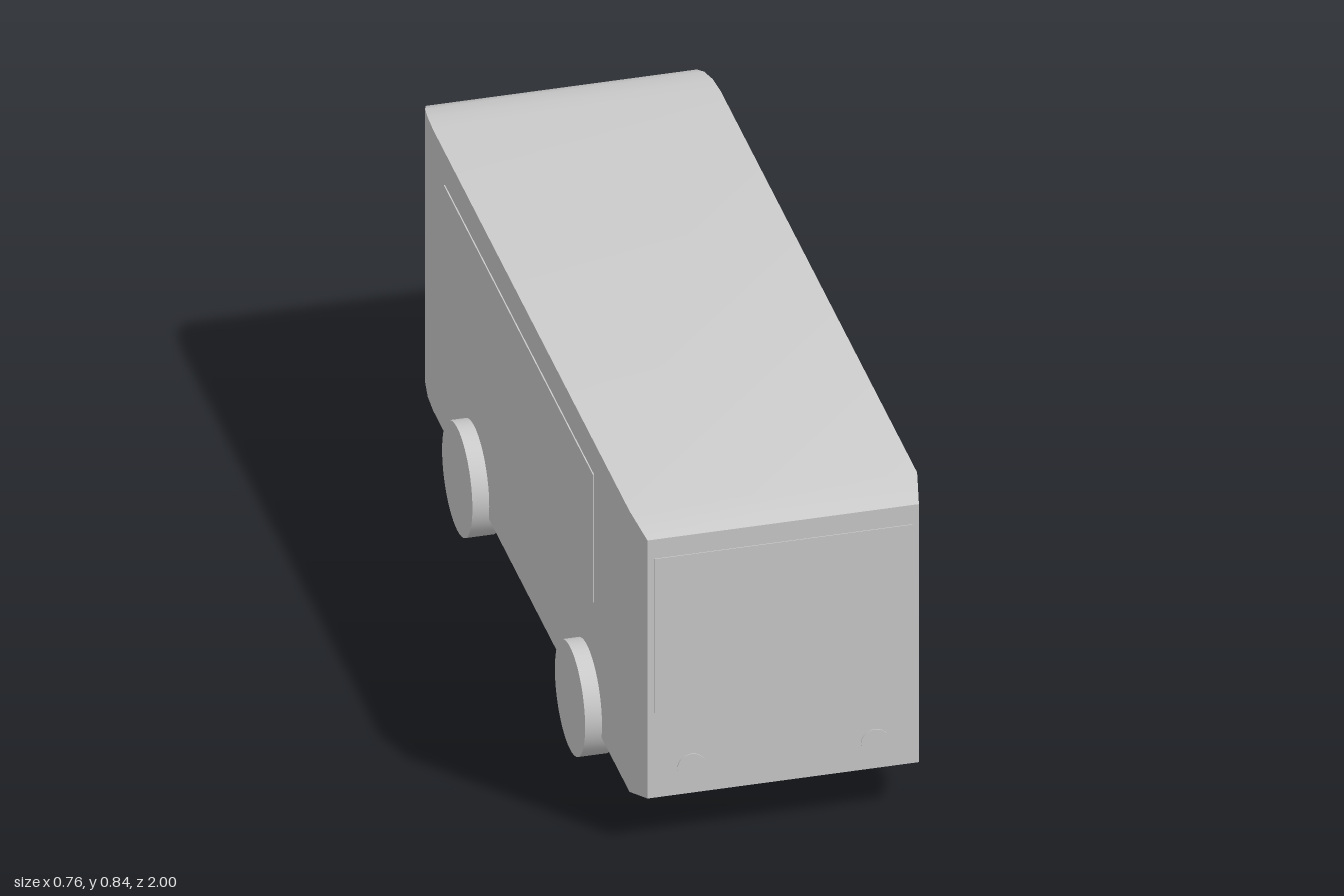
import * as THREE from 'three';
import { toCreasedNormals } from 'three/addons/utils/BufferGeometryUtils.js';

const material = new THREE.MeshStandardMaterial({ color: 0xcccccc });

function add(group, name, geometry, x, y, z) {
  const mesh = new THREE.Mesh(geometry, material);
  mesh.name = name;
  mesh.position.set(x, y, z);
  group.add(mesh);
  return mesh;
}

// Body shell: rectangular sections [z, half width, bottom, top] lofted front to back
function bodyGeometry() {
  const sections = [
    [0.998, 0.318, 0.13, 0.81],
    [0.91, 0.337, 0.1, 0.84],
    [-0.84, 0.337, 0.1, 0.84],
    [-0.9, 0.334, 0.102, 0.838],
    [-0.95, 0.327, 0.11, 0.83],
    [-0.98, 0.318, 0.12, 0.82],
    [-0.991, 0.303, 0.13, 0.81],
    [-0.998, 0.275, 0.14, 0.8],
  ];
  const positions = [];
  const index = [];
  for (const [z, w, y0, y1] of sections) {
    positions.push(-w, y0, z, w, y0, z, w, y1, z, -w, y1, z);
  }
  for (let s = 0; s < sections.length - 1; s++) {
    for (let k = 0; k < 4; k++) {
      const a = s * 4 + k;
      const b = s * 4 + (k + 1) % 4;
      index.push(a, a + 4, b, b, a + 4, b + 4);
    }
  }
  const e = (sections.length - 1) * 4;
  index.push(0, 1, 2, 0, 2, 3, e, e + 2, e + 1, e, e + 3, e + 2);
  const geometry = new THREE.BufferGeometry();
  geometry.setAttribute('position', new THREE.Float32BufferAttribute(positions, 3));
  geometry.setIndex(index);
  return toCreasedNormals(geometry, 0.55);
}

export function createModel() {
  const bus = new THREE.Group();
  bus.name = 'bus';

  add(bus, 'body', bodyGeometry(), -0.002, 0, 0);

  // Front and rear glass
  add(bus, 'windshield', new THREE.BoxGeometry(0.605, 0.405, 0.02), -0.002, 0.557, 0.99);
  add(bus, 'rearWindow', new THREE.BoxGeometry(0.55, 0.29, 0.02), -0.002, 0.635, -0.99);

  // Headlights
  const lamp = new THREE.CylinderGeometry(0.033, 0.033, 0.02, 32).rotateX(Math.PI / 2);
  for (const side of [-1, 1]) {
    add(bus, 'headlight', lamp, side * 0.215 - 0.002, 0.2, 0.99);
  }

  // Side windows on both sides, door on the left only
  const sideWindow = new THREE.BoxGeometry(0.02, 0.337, 1.33);
  for (const side of [-1, 1]) {
    add(bus, 'sideWindow', sideWindow, side * 0.33 - 0.002, 0.587, -0.07);
  }
  add(bus, 'door', new THREE.BoxGeometry(0.02, 0.53, 0.19), 0.328, 0.38, 0.77);

  // Wheels
  const wheel = toCreasedNormals(
    new THREE.CylinderGeometry(0.135, 0.135, 0.067, 48).rotateZ(Math.PI / 2), 0.6);
  for (const [name, z] of [['frontWheel', 0.53], ['rearWheel', -0.475]]) {
    for (const side of [-1, 1]) add(bus, name, wheel, side * 0.345, 0.135, z);
  }
  return bus;
}
